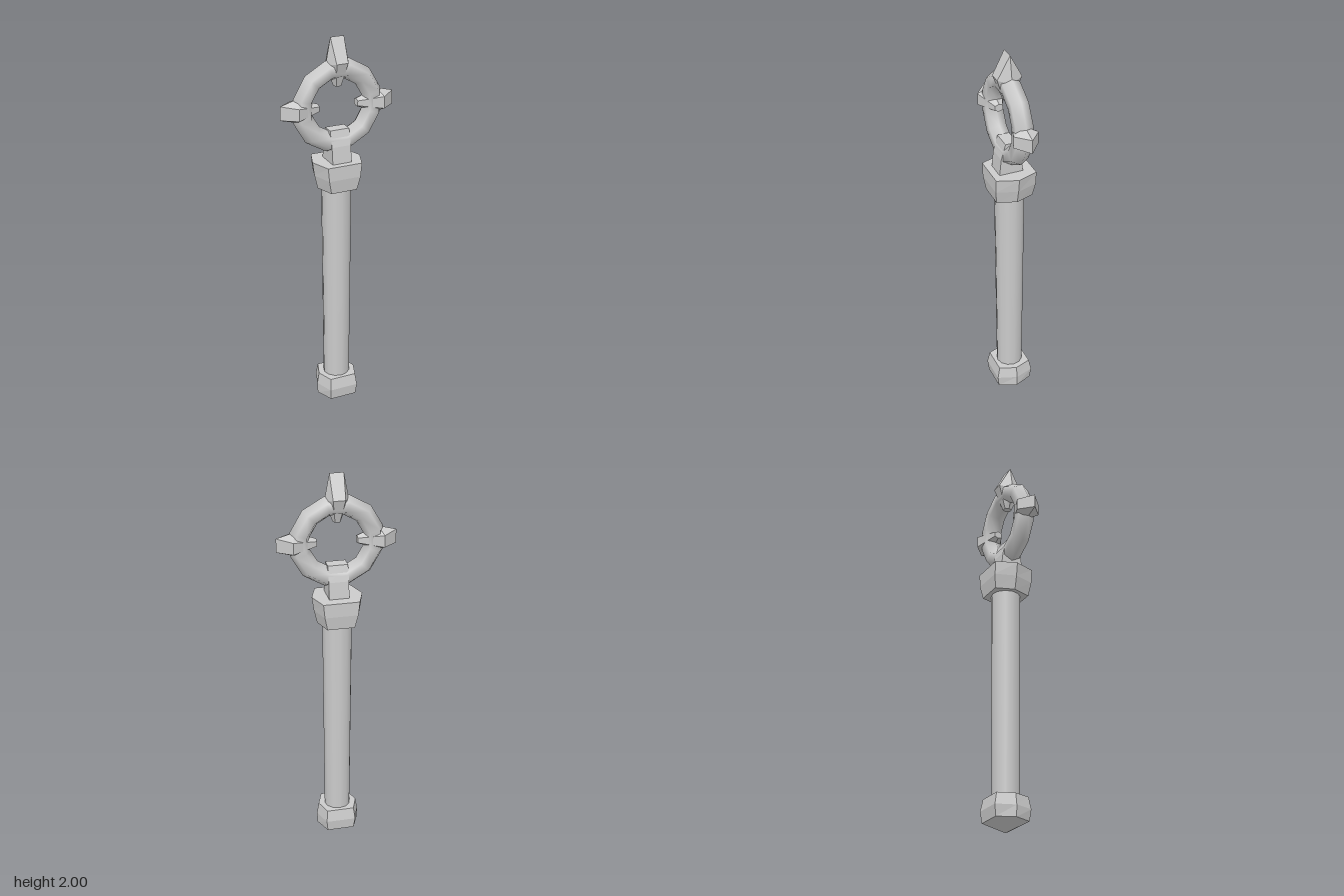
import * as THREE from 'three';

const smooth = new THREE.MeshStandardMaterial({ color: 0xcccccc });
const faceted = new THREE.MeshStandardMaterial({ color: 0xcccccc, flatShading: true });

// Cross-section with points on +x and -x and flat sides facing +z and -z
const hex = (y, point, flat, depth, pointY = y) => [
  [point, pointY, 0], [flat, y, -depth], [-flat, y, -depth],
  [-point, pointY, 0], [-flat, y, depth], [flat, y, depth],
].map((p) => new THREE.Vector3(...p));

const rect = (y, w, d) => [[w, y, d], [w, y, -d], [-w, y, -d], [-w, y, d]]
  .map((p) => new THREE.Vector3(...p));

// Faceted skin over cross-sections listed from bottom to top, capped at both ends
function loft(sections) {
  const pos = [];
  const tri = (a, b, c) => {
    const area = b.clone().sub(a).cross(c.clone().sub(a)).length();
    if (area > 1e-8) for (const p of [a, b, c]) pos.push(p.x, p.y, p.z);
  };
  const n = sections[0].length;
  for (let s = 0; s < sections.length - 1; s++) {
    const lo = sections[s], hi = sections[s + 1];
    for (let i = 0; i < n; i++) {
      const j = (i + 1) % n;
      tri(lo[i], lo[j], hi[j]);
      tri(lo[i], hi[j], hi[i]);
    }
  }
  const first = sections[0], last = sections[sections.length - 1];
  for (let i = 1; i < n - 1; i++) {
    tri(first[0], first[i + 1], first[i]);
    tri(last[0], last[i], last[i + 1]);
  }
  const g = new THREE.BufferGeometry();
  g.setAttribute('position', new THREE.Float32BufferAttribute(pos, 3));
  g.computeVertexNormals();
  return g;
}

export function createModel() {
  const model = new THREE.Group();
  model.name = 'ringHeadedStaff';
  const add = (name, geometry, material, parent = model) => {
    const mesh = new THREE.Mesh(geometry, material);
    mesh.name = name;
    parent.add(mesh);
    return mesh;
  };

  // Slightly tapered handle
  add('shaft', new THREE.CylinderGeometry(0.075, 0.067, 1.12, 12), smooth).position.y = 0.7;

  // Pointed weight at the foot
  add('pommel', loft([
    hex(0, 0, 0, 0),
    hex(0.052, 0.108, 0.07, 0.09),
    hex(0.11, 0.11, 0.076, 0.097),
    hex(0.17, 0.1, 0.07, 0.085),
  ]), faceted);

  // Flared collar below the head
  add('collar', loft([
    hex(1.24, 0.1, 0.068, 0.095),
    hex(1.31, 0.117, 0.083, 0.105),
    hex(1.38, 0.127, 0.09, 0.105),
  ]), faceted);

  // Head: clasp, ring and three spikes
  const head = new THREE.Group();
  head.name = 'head';
  head.position.set(0, 1.66, 0.01);
  model.add(head);

  add('clasp', loft([
    rect(-0.29, 0.05, 0.062),
    rect(-0.195, 0.05, 0.052),
    rect(-0.115, 0.05, 0.03),
  ]), faceted, head);

  const ring = new THREE.TorusGeometry(0.185, 0.051, 6, 12);
  add('ring', ring.rotateZ(Math.PI / 12), smooth, head);

  // Each spike narrows inward and ends outside in a chisel edge
  const spike = (tip) => loft([
    hex(0.1, 0.02, 0.012, 0.02),
    hex(0.222, 0.06, 0.03, 0.0625, 0.205),
    hex(tip, 0.035, 0.035, 0),
  ]);
  add('topSpike', spike(0.34), faceted, head);
  for (const [name, side] of [['leftSpike', 1], ['rightSpike', -1]]) {
    add(name, spike(0.295), faceted, head).rotation.z = -side * Math.PI / 2;
  }
  return model;
}
